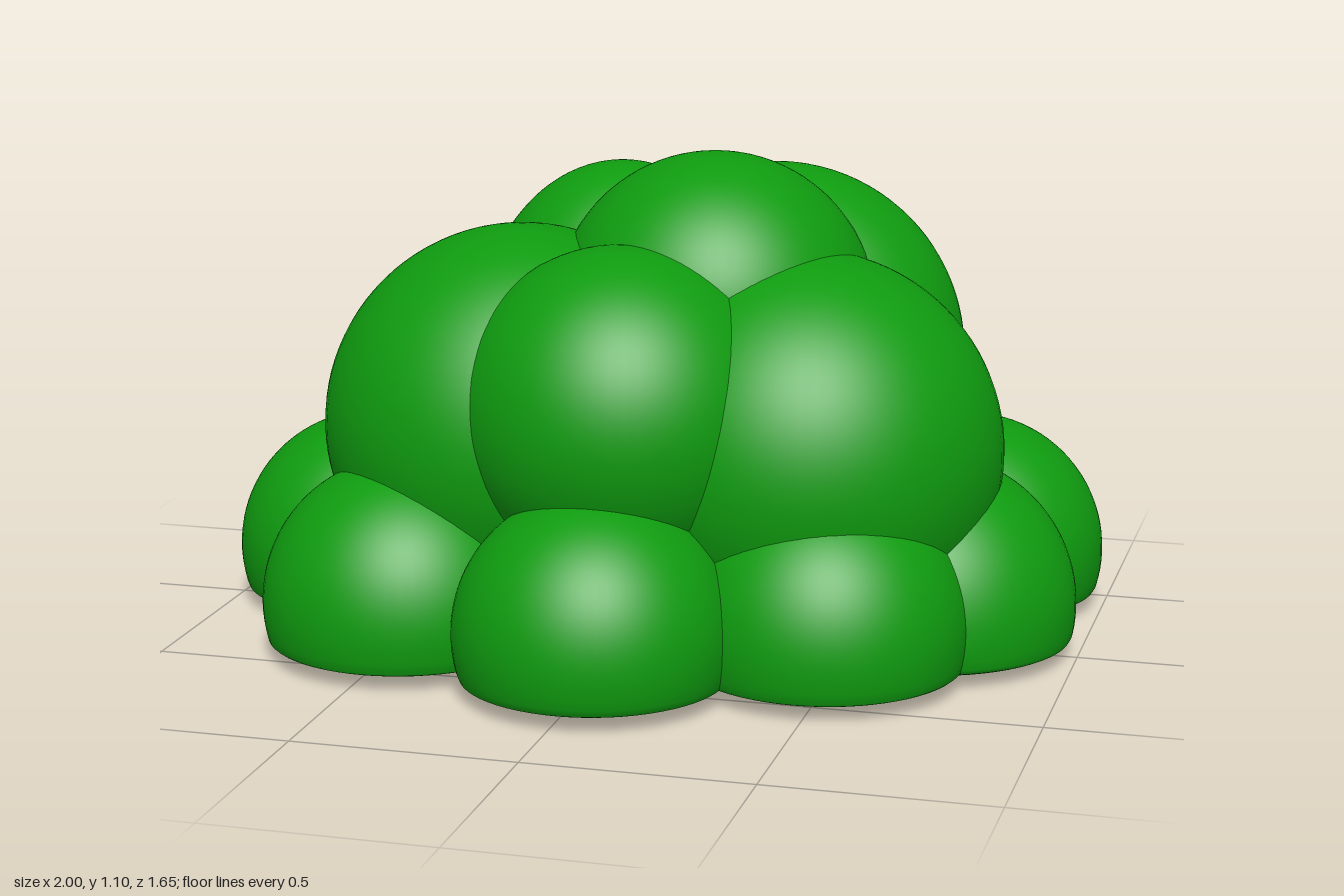
import * as THREE from 'three';
import { mergeVertices } from 'three/addons/utils/BufferGeometryUtils.js';

const FLOOR = 0.04; // below this height the foliage is squashed flat
const SQUASH = 0.15;

// Ellipsoid lobe whose underside is pressed against the ground
function lobeGeometry([x, y, z], [rx, ry, rz]) {
  const sphere = new THREE.SphereGeometry(1, 64, 48);
  sphere.deleteAttribute('uv');
  sphere.deleteAttribute('normal');
  const geometry = mergeVertices(sphere, 1e-4);
  geometry.scale(rx, ry, rz).translate(x, y, z);
  const p = geometry.attributes.position;
  for (let i = 0; i < p.count; i++) {
    const h = p.getY(i);
    if (h < FLOOR) p.setY(i, FLOOR + (h - FLOOR) * SQUASH);
  }
  geometry.computeVertexNormals();
  return geometry;
}

export function createModel() {
  const bush = new THREE.Group();
  bush.name = 'bush';
  const leafGreen = new THREE.MeshStandardMaterial({ color: 0x0f9b0f });
  leafGreen.name = 'leafGreen';

  function addLobe(parent, name, centre, radii) {
    const mesh = new THREE.Mesh(lobeGeometry(centre, radii), leafGreen);
    mesh.name = name;
    parent.add(mesh);
  }

  // Ring of low lobes around the base: x, z, radius
  const base = new THREE.Group();
  base.name = 'baseLobes';
  [
    [-0.69, -0.05, 0.31],
    [-0.48, -0.415, 0.325],
    [-0.11, -0.52, 0.31],
    [0.22, -0.52, 0.31],
    [0.48, -0.52, 0.31],
    [0.68, -0.4, 0.315],
    [0.66, 0.01, 0.333],
    [0.48, 0.3, 0.32],
    [0.02, 0.515, 0.31],
    [-0.47, 0.345, 0.32],
  ].forEach(([x, z, r], i) => addLobe(base, `baseLobe${i + 1}`, [x, 0.445 - r, z], [r, r, r]));
  bush.add(base);

  // Large lobes forming the crown
  const crown = new THREE.Group();
  crown.name = 'crownLobes';
  addLobe(crown, 'rightSideLobe', [-0.275, 0.485, 0.07], [0.452, 0.452, 0.452]);
  addLobe(crown, 'leftSideLobe', [0.38, 0.458, 0.07], [0.45, 0.45, 0.45]);
  addLobe(crown, 'frontLobe', [0.01, 0.565, 0.255], [0.37, 0.37, 0.37]);
  addLobe(crown, 'backLeftLobe', [0.23, 0.6, -0.32], [0.44, 0.44, 0.37]);
  addLobe(crown, 'backRightLobe', [-0.145, 0.59, -0.31], [0.347, 0.44, 0.347]);
  addLobe(crown, 'topLobe', [0.145, 0.735, -0.055], [0.367, 0.367, 0.367]);
  bush.add(crown);

  return bush;
}
